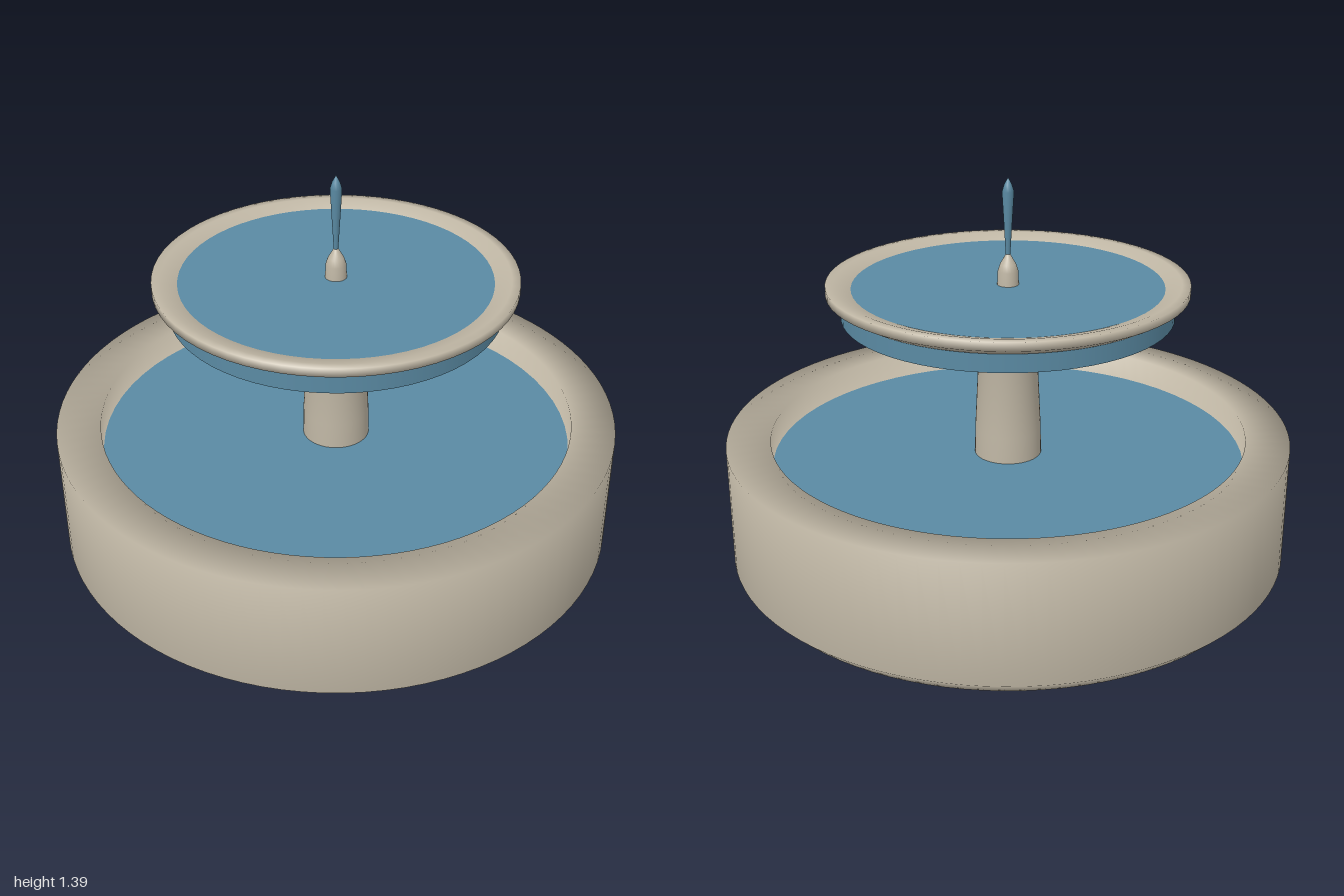
import * as THREE from 'three';

export function createModel() {
  const model = new THREE.Group();
  const stone = new THREE.MeshStandardMaterial({ color: 0xbfb6a4 });
  stone.name = 'stone';
  const water = new THREE.MeshStandardMaterial({ color: 0x5a8aa3 });
  water.name = 'water';

  const add = (name, geometry, material) => {
    const mesh = new THREE.Mesh(geometry, material);
    mesh.name = name;
    model.add(mesh);
    return mesh;
  };
  // Turned part from [radius, height] pairs, listed up the outside then back inside
  const turn = (name, profile, material, segments = 64) =>
    add(name, new THREE.LatheGeometry(profile.map(([r, y]) => new THREE.Vector2(r, y)), segments), material);
  // Solid disc of water between two heights
  const pool = (name, radius, bottom, top) => {
    const geometry = new THREE.CylinderGeometry(radius, radius, top - bottom, 64);
    add(name, geometry.translate(0, (top + bottom) / 2, 0), water);
  };

  // Lower basin with chamfered foot and broad rim
  turn('basin', [[0, 0], [0.95, 0], [1, 0.05], [1, 0.475], [0.845, 0.475], [0.84, 0.32], [0, 0.32]], stone, 96);
  pool('basinWater', 0.842, 0.33, 0.38);

  // Pedestal, flaring under the bowl
  turn('pedestal', [[0.12, 0.34], [0.118, 0.475], [0.104, 0.76], [0.145, 0.848]], stone, 48);

  // Upper bowl with sloped lip
  turn('upperBowl', [[0, 0.845], [0.19, 0.845], [0.37, 0.91], [0.585, 0.975], [0.63, 1.0],
    [0.63, 1.03], [0.6, 1.03], [0.53, 1.008], [0.5, 0.97], [0, 0.94]], stone);
  pool('upperWater', 0.58, 0.91, 1.012);

  // Nozzle and the jet rising from it
  turn('nozzle', [[0.038, 1.0], [0.036, 1.06], [0.028, 1.085], [0.008, 1.12], [0, 1.125]], stone, 24);
  turn('jet', [[0, 1.115], [0.008, 1.12], [0.021, 1.34], [0.013, 1.365], [0, 1.39]], water, 16);

  return model;
}
